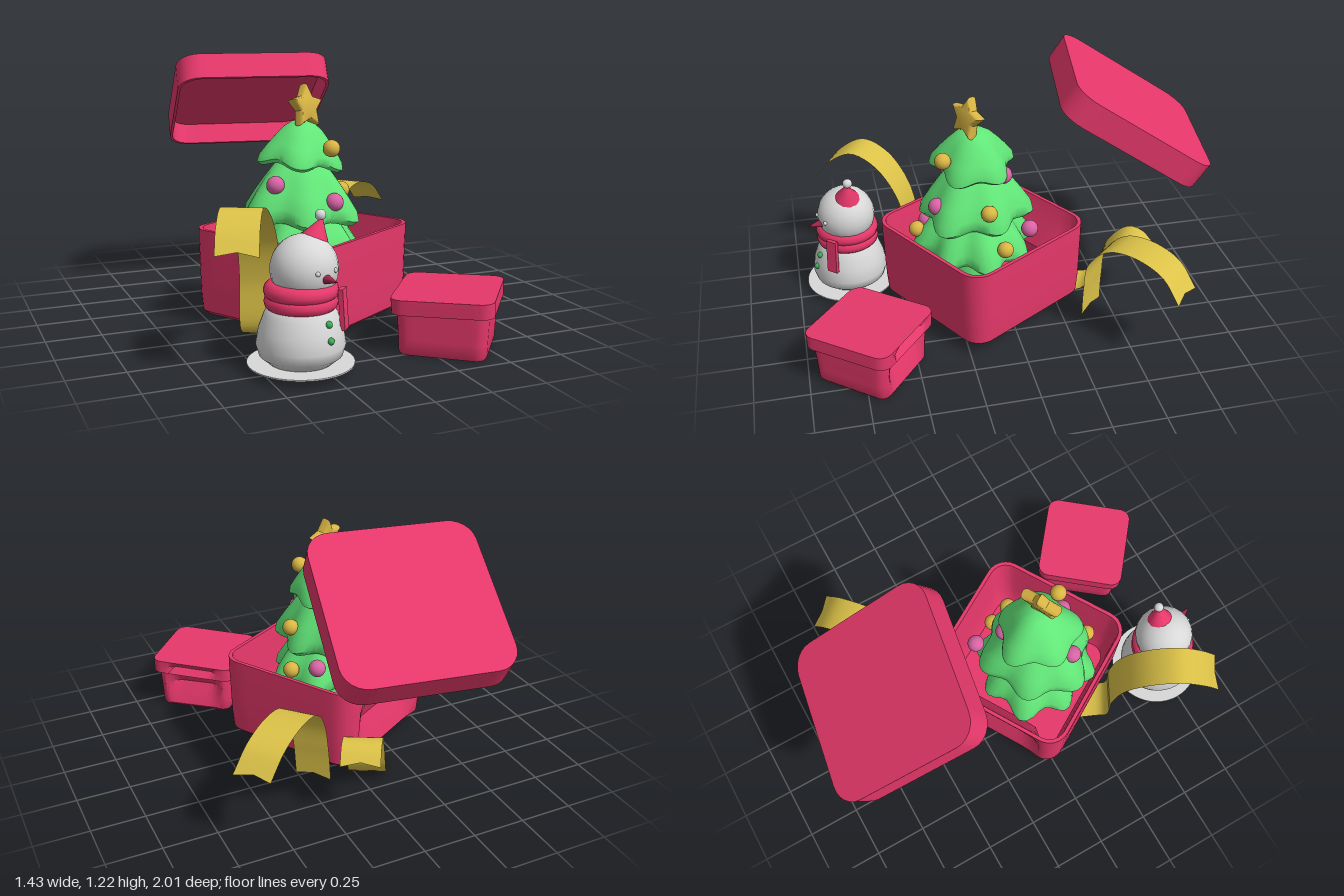
import * as THREE from 'three';
import { toCreasedNormals } from 'three/addons/utils/BufferGeometryUtils.js';

const material = (name, color, side = THREE.FrontSide) => {
  const m = new THREE.MeshStandardMaterial({ color, side });
  m.name = name;
  return m;
};

export function createModel() {
  const crimson = material('crimson', 0xe6386a);
  const noseRed = material('dark red', 0xa02648);
  const green = material('leaf green', 0x62e678);
  const buttonGreen = material('button green', 0x3bb054);
  const gold = material('gold', 0xdab644);
  const ribbonGold = material('ribbon gold', 0xdcc248, THREE.DoubleSide);
  const pink = material('pink', 0xd864a4);
  const snow = material('snow', 0xd8d8d8);

  const model = new THREE.Group();
  model.name = 'giftScene';

  const add = (name, geometry, mat, pos = [0, 0, 0], parent = model) => {
    const mesh = new THREE.Mesh(geometry, mat);
    mesh.name = name;
    mesh.position.set(...pos);
    parent.add(mesh);
    return mesh;
  };
  const group = (name, pos = [0, 0, 0]) => {
    const g = new THREE.Group();
    g.name = name;
    g.position.set(...pos);
    model.add(g);
    return g;
  };
  const ball = (name, r, mat, pos, parent) => add(name, new THREE.SphereGeometry(r, 20, 14), mat, pos, parent);

  // Skin closed rings of points, listed so that upward rows face outward
  const skin = (rows) => {
    const n = rows[0].length, index = [];
    for (let i = 0; i < rows.length - 1; i++) {
      for (let j = 0; j < n; j++) {
        const a = i * n + j, b = i * n + (j + 1) % n;
        index.push(a, a + n, b, b, a + n, b + n);
      }
    }
    const g = new THREE.BufferGeometry();
    g.setAttribute('position', new THREE.Float32BufferAttribute(rows.flat(2), 3));
    g.setIndex(index);
    return g;
  };

  // Rounded square rings [y, half width, corner radius]; dent pushes the back wall in
  const roundedLoft = (rings, dent = () => 0) => {
    const rows = rings.map(([y, half, r]) => {
      const a = half - r, row = [];
      const put = (x, z) => row.push([x, y, half > 0 && z < -0.9 * half ? z + dent(x, y) : z]);
      for (let k = 0; k < 4; k++) {
        const sx = k === 0 || k === 3 ? a : -a, sz = k < 2 ? a : -a;
        for (let i = 0; i <= 6; i++) {
          const p = (k + i / 6) * Math.PI / 2;
          put(sx + r * Math.cos(p), sz + r * Math.sin(p));
        }
        const nx = k === 0 || k === 1 ? -a : a, nz = k === 0 || k === 3 ? a : -a;
        const p = (k + 1) * Math.PI / 2, ox = r * Math.cos(p), oz = r * Math.sin(p);
        for (let i = 1; i < 10; i++) put(sx + (nx - sx) * i / 10 + ox, sz + (nz - sz) * i / 10 + oz);
      }
      return row;
    });
    return toCreasedNormals(skin(rows), 0.6);
  };
  const dentRule = (depth, width, soft, mid, reach) => (x, y) =>
    depth * THREE.MathUtils.clamp((width - Math.abs(x)) / soft, 0, 1) * Math.max(0, 1 - Math.abs(y - mid) / reach);

  // Big open gift box
  const bigBox = add('bigGiftBox', roundedLoft([
    [0.05, 0, 0], [0.05, 0.345, 0.08], [0.065, 0.36, 0.09], [0.14, 0.366, 0.095], [0.23, 0.369, 0.097],
    [0.32, 0.371, 0.1], [0.4, 0.373, 0.1], [0.45, 0.373, 0.1], [0.45, 0.355, 0.085], [0.4, 0.35, 0.085],
    [0.32, 0.343, 0.08], [0.23, 0.335, 0.08], [0.14, 0.325, 0.08], [0.09, 0.31, 0.07], [0.09, 0, 0],
  ], dentRule(0.07, 0.28, 0.08, 0.23, 0.2)), crimson, [-0.063, 0, 0.1]);
  bigBox.rotation.y = 0.54;

  // Hollow lid floating behind the box
  const lid = add('bigGiftLid', roundedLoft([
    [0.045, 0, 0], [0.045, 0.36, 0.1], [-0.065, 0.364, 0.1], [-0.065, 0.378, 0.11],
    [0.067, 0.378, 0.11], [0.067, 0, 0],
  ]), crimson, [-0.09, 0.96, -0.622]);
  lid.rotation.set(-0.576, -0.165, 0, 'YXZ');

  // Small closed gift
  const gift = group('smallGift', [0.367, 0, 0.707]);
  gift.rotation.y = -0.68;
  add('smallGiftBox', roundedLoft([
    [0, 0, 0], [0, 0.18, 0.04], [0.012, 0.188, 0.05], [0.07, 0.19, 0.05], [0.13, 0.193, 0.05],
    [0.2, 0.196, 0.05], [0.22, 0.196, 0.05], [0.22, 0, 0],
  ], dentRule(0.05, 0.15, 0.05, 0.13, 0.1)), crimson, [0, 0, 0], gift);
  const smallLid = add('smallGiftLid', roundedLoft([
    [-0.033, 0, 0], [-0.033, 0.218, 0.055], [0, 0.219, 0.055], [0.033, 0.219, 0.055], [0.033, 0, 0],
  ], dentRule(0.03, 0.14, 0.04, 0, 0.033)), crimson, [0, 0.225, 0], gift);
  smallLid.rotation.set(0.02, 0, 0.03);

  // Tree of three drooping, lobed tiers
  const tree = group('tree', [-0.1, 0, 0.13]);
  const profile = [[0.14, 0], [0.08, 0.55], [0, 0.92], [0.07, 1], [0.2, 0.97], [0.4, 0.82],
    [0.6, 0.65], [0.78, 0.48], [0.92, 0.28], [1, 0]];
  const tier = (name, y, height, radius, lobes, phase, tilt) => {
    const rows = profile.map(([h, f]) => Array.from({ length: 56 }, (_, j) => {
      const p = j / 56 * Math.PI * 2, wave = Math.cos(lobes * p + phase);
      const r = radius * f * (1 + 0.1 * f * wave + 0.05 * Math.cos(3 * p + phase * 2));
      return [r * Math.cos(p), height * h - 0.014 * f * f * wave, r * Math.sin(p)];
    }));
    const mesh = add(name, toCreasedNormals(skin(rows), 0.8), green, [0, y, 0], tree);
    mesh.rotation.z = tilt;
  };
  tier('lowerBranches', 0.3, 0.34, 0.275, 8, 0.4, 0);
  tier('middleBranches', 0.49, 0.32, 0.252, 6, 1.9, -0.03);
  tier('upperBranches', 0.74, 0.21, 0.188, 5, 3, -0.12);
  add('treeTrunk', new THREE.CylinderGeometry(0.1, 0.13, 0.24, 16), green, [0, 0.21, 0], tree);

  // Star on the tree top
  const starShape = new THREE.Shape(Array.from({ length: 10 }, (_, i) => {
    const p = i * Math.PI / 5, r = i % 2 ? 0.043 : 0.085;
    return new THREE.Vector2(Math.sin(p) * r, Math.cos(p) * r);
  }));
  const starGeometry = new THREE.ExtrudeGeometry(starShape, {
    depth: 0.01, bevelEnabled: true, bevelSize: 0.014, bevelThickness: 0.022, bevelSegments: 3,
  });
  starGeometry.translate(0, 0, -0.005);
  const star = add('star', toCreasedNormals(starGeometry, 0.7), gold, [-0.075, 1.005, 0.155]);
  star.rotation.set(-0.2, 0.5, -0.08, 'YXZ');

  // Baubles
  [[-0.005, 0.83, 0.29], [0.13, 0.6, 0.1], [0.16, 0.41, 0.03], [-0.12, 0.41, 0.41]]
    .forEach((p) => ball('goldBauble', 0.039, gold, p));
  [[-0.25, 0.67, 0.23], [-0.005, 0.592, 0.325], [0.085, 0.465, -0.105], [-0.01, 0.72, 0], [-0.15, 0.44, 0.355]]
    .forEach((p) => ball('pinkBauble', 0.041, pink, p));

  // Ribbons swept along a path, with notched ends
  const ribbon = (name, points, across, halfWidth, segments) => {
    const curve = new THREE.CatmullRomCurve3(points.map((p) => new THREE.Vector3(...p)), false, 'centripetal');
    const side = new THREE.Vector3(...across).normalize().multiplyScalar(halfWidth);
    const notch = 0.02 / curve.getLength(), pos = [], index = [];
    for (let i = 0; i <= segments; i++) {
      for (let j = -1; j <= 1; j++) {
        let t = i / segments;
        if (j === 0) t = THREE.MathUtils.clamp(t, notch, 1 - notch);
        pos.push(...curve.getPointAt(t).addScaledVector(side, j).toArray());
      }
      if (i < segments) {
        for (const a of [i * 3, i * 3 + 1]) index.push(a, a + 1, a + 3, a + 1, a + 4, a + 3);
      }
    }
    const g = new THREE.BufferGeometry();
    g.setAttribute('position', new THREE.Float32BufferAttribute(pos, 3));
    g.setIndex(index);
    g.computeVertexNormals();
    add(name, g, ribbonGold);
  };
  ribbon('longRibbon', [
    [-0.633, 0.52, 0.82], [-0.605, 0.605, 0.75], [-0.55, 0.67, 0.64], [-0.48, 0.62, 0.53], [-0.415, 0.48, 0.44],
    [-0.39, 0.3, 0.4], [-0.385, 0.07, 0.39], [-0.36, 0.037, 0.36], [-0.08, 0.037, -0.3], [-0.03, 0.04, -0.41],
    [0, 0.1, -0.46], [0.04, 0.27, -0.51], [0.09, 0.36, -0.59], [0.13, 0.35, -0.65], [0.16, 0.29, -0.7],
  ], [0.88, 0, 0.47], 0.088, 90);
  ribbon('sideRibbon', [
    [0.235, 0.07, -0.38], [0.245, 0.22, -0.38], [0.27, 0.38, -0.39], [0.34, 0.485, -0.46], [0.45, 0.51, -0.55],
    [0.57, 0.47, -0.64], [0.657, 0.37, -0.69],
  ], [0.68, 0, 0.73], 0.086, 40);

  // Snowman
  const snowman = group('snowman', [-0.335, 0, 0.735]);
  const bodyProfile = [[0, 0.01], [0.08, 0.014], [0.13, 0.035], [0.172, 0.07], [0.185, 0.115], [0.174, 0.18],
    [0.152, 0.24], [0.12, 0.3], [0, 0.31]].map(([x, y]) => new THREE.Vector2(x, y));
  add('snowmanBody', new THREE.LatheGeometry(bodyProfile, 40), snow, [0, 0, 0], snowman);
  add('snowPatch', new THREE.CylinderGeometry(0.222, 0.222, 0.006, 48), snow, [0, 0.034, 0], snowman);
  ball('snowmanHead', 0.141, snow, [0.015, 0.425, 0], snowman);

  // Scarf
  [[0.292, 0.116], [0.338, 0.118]].forEach(([y, r]) => {
    const wrap = add('scarfWrap', new THREE.TorusGeometry(r, 0.036, 12, 40), crimson, [0.001, y, 0], snowman);
    wrap.rotation.x = Math.PI / 2;
  });
  const tail = add('scarfTail', new THREE.BoxGeometry(0.055, 0.17, 0.02), crimson, [0.148, 0.265, 0.09], snowman);
  tail.rotation.set(-0.1, 0.85, 0.08);

  // Hat with pompom
  const hat = add('hat', new THREE.ConeGeometry(0.094, 0.15, 28), crimson, [0.071, 0.558, -0.008], snowman);
  hat.rotation.z = -0.36;
  ball('pompom', 0.023, snow, [0.092, 0.634, -0.015], snowman);

  // Face and buttons
  const nose = add('nose', new THREE.ConeGeometry(0.021, 0.07, 16), noseRed, [0.066, 0.407, 0.16], snowman);
  nose.rotation.set(Math.PI / 2, 0, -0.3);
  [[0.015, 0.14], [0.104, 0.108]].forEach(([x, z]) => ball('eye', 0.01, snow, [x, 0.433, z], snowman));
  [[0.225, 0.147], [0.163, 0.167]].forEach(([y, z]) => ball('button', 0.015, buttonGreen, [0.06, y, z], snowman));

  return model;
}
